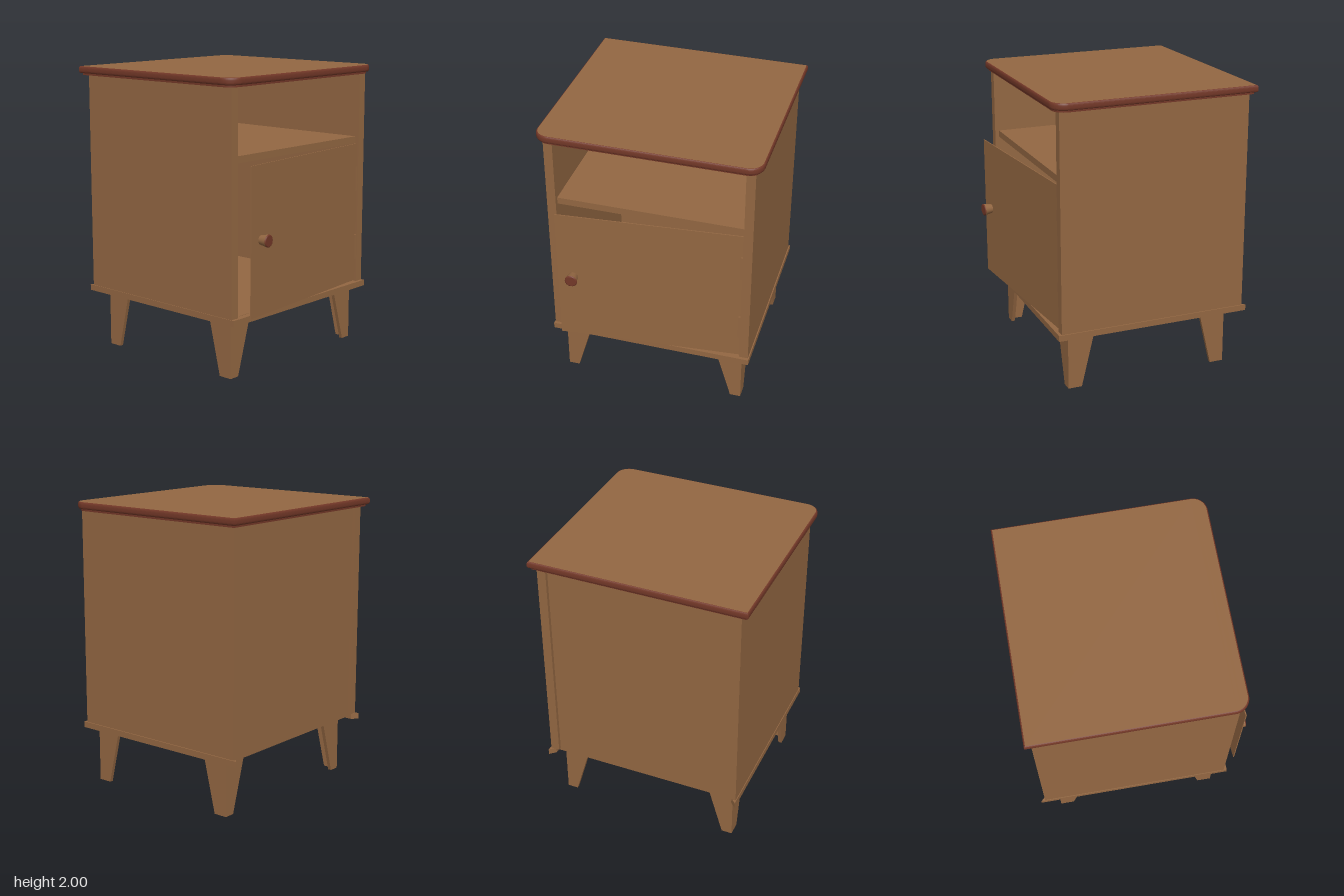
import * as THREE from 'three';

const wood = new THREE.MeshStandardMaterial({ color: 0x936742 });
wood.name = 'walnutWood';
const red = new THREE.MeshStandardMaterial({ color: 0x733828 });
red.name = 'redBrownTrim';

// Box given by its two extreme corners
function box(parent, name, [x0, x1], [y0, y1], [z0, z1]) {
  const mesh = new THREE.Mesh(new THREE.BoxGeometry(x1 - x0, y1 - y0, z1 - z0), wood);
  mesh.position.set((x0 + x1) / 2, (y0 + y1) / 2, (z0 + z1) / 2);
  mesh.name = name;
  parent.add(mesh);
}

// Plan outline: square at the back, rounded at the two front corners (shape y = model z)
function topOutline(hw, back, front, r) {
  const s = new THREE.Shape();
  s.moveTo(-hw, back);
  s.lineTo(hw, back);
  s.lineTo(hw, front - r);
  s.absarc(hw - r, front - r, r, 0, Math.PI / 2, false);
  s.lineTo(-hw + r, front);
  s.absarc(-hw + r, front - r, r, Math.PI / 2, Math.PI, false);
  s.closePath();
  return s;
}

// Horizontal slab hanging down from y, with its own edge material
function slab(parent, name, shape, y, edge, options) {
  const geo = new THREE.ExtrudeGeometry(shape, { curveSegments: 10, bevelEnabled: false, ...options });
  geo.rotateX(Math.PI / 2);
  const mesh = new THREE.Mesh(geo, [wood, edge]);
  mesh.position.y = y;
  mesh.name = name;
  parent.add(mesh);
}

// Leg: two tapered boards meeting in an L at the outer corner
function leg(parent, name, x, z, sx, sz) {
  const t = 0.025, h = 0.415;
  const board = (sign, foot) => {
    const s = new THREE.Shape();
    s.moveTo(0, 0);
    s.lineTo(-sign * foot, 0);
    s.lineTo(-sign * 0.19, 0.39);
    s.lineTo(-sign * 0.19, h);
    s.lineTo(0, h);
    s.closePath();
    return new THREE.ExtrudeGeometry(s, { depth: t, bevelEnabled: false });
  };
  const group = new THREE.Group();
  group.name = name;
  const across = new THREE.Mesh(board(sx, 0.075), wood);
  across.name = 'legCrossBoard';
  across.position.set(x, 0, sz > 0 ? z - t : z);
  const along = new THREE.Mesh(board(sz, 0.097).rotateY(-Math.PI / 2), wood);
  along.name = 'legSideBoard';
  along.position.set(sx > 0 ? x : x + t, 0, z);
  group.add(across, along);
  parent.add(group);
}

export function createModel() {
  const model = new THREE.Group();
  model.name = 'bedsideCabinet';

  // Table top with rounded edge, and a thin slab below it
  slab(model, 'tableTop', topOutline(0.745, -0.756, 0.653, 0.09), 1.98, red,
    { depth: 0.008, bevelEnabled: true, bevelThickness: 0.02, bevelSize: 0.01, bevelSegments: 5 });
  slab(model, 'topUnderlay', topOutline(0.735, -0.745, 0.643, 0.08), 1.955, red, { depth: 0.017 });

  // Side panels with the back panel set in between them
  box(model, 'rightSide', [-0.7, -0.638], [0.43, 1.94], [-0.725, 0.614]);
  box(model, 'leftSide', [0.647, 0.709], [0.43, 1.94], [-0.725, 0.614]);
  box(model, 'backPanel', [-0.638, 0.647], [0.415, 1.94], [-0.7, -0.68]);

  // Shelf and floor
  box(model, 'shelf', [-0.638, 0.647], [1.443, 1.49], [-0.68, 0.585]);
  box(model, 'floor', [-0.665, 0.675], [0.41, 0.432], [-0.7, 0.59]);

  // Base moulding around the sides and front, mitred at its open back ends
  const moulding = new THREE.Shape([
    [-0.705, -0.753], [-0.665, -0.713], [-0.665, 0.59], [0.675, 0.59],
    [0.675, -0.713], [0.717, -0.753], [0.717, 0.636], [-0.705, 0.636],
  ].map(([x, z]) => new THREE.Vector2(x, z)));
  slab(model, 'baseMoulding', moulding, 0.43, wood, { depth: 0.042 });

  // Door, slightly ajar on its left edge
  const door = new THREE.Group();
  door.name = 'door';
  door.position.set(0.647, 0, 0.594);
  door.rotation.y = 0.087;
  box(door, 'doorPanel', [-1.27, 0], [0.437, 1.44], [-0.002, 0.005]);
  model.add(door);

  // Flared knob with a softly rounded red face
  const knob = new THREE.Group();
  knob.name = 'doorKnob';
  knob.position.set(-1.162, 0.945, 0.003);
  const stem = new THREE.Mesh(new THREE.CylinderGeometry(0.043, 0.031, 0.06, 24, 1, true), wood);
  stem.name = 'knobStem';
  stem.position.y = 0.03;
  const face = new THREE.Mesh(new THREE.LatheGeometry(
    [[0.043, 0.06], [0.042, 0.064], [0.037, 0.067], [0.036, 0.067], [0, 0.067]]
      .map(([r, y]) => new THREE.Vector2(r, y)), 24), red);
  face.name = 'knobFace';
  knob.add(stem, face);
  knob.rotation.x = Math.PI / 2;
  door.add(knob);

  // Hinges
  for (const y of [0.6, 1.1]) box(model, 'hinge', [0.63, 0.649], [y, y + 0.175], [0.59, 0.61]);

  // Legs
  leg(model, 'frontLeftLeg', 0.653, 0.55, 1, 1);
  leg(model, 'frontRightLeg', -0.64, 0.55, -1, 1);
  leg(model, 'backLeftLeg', 0.653, -0.617, 1, -1);
  leg(model, 'backRightLeg', -0.64, -0.617, -1, -1);

  return model;
}
